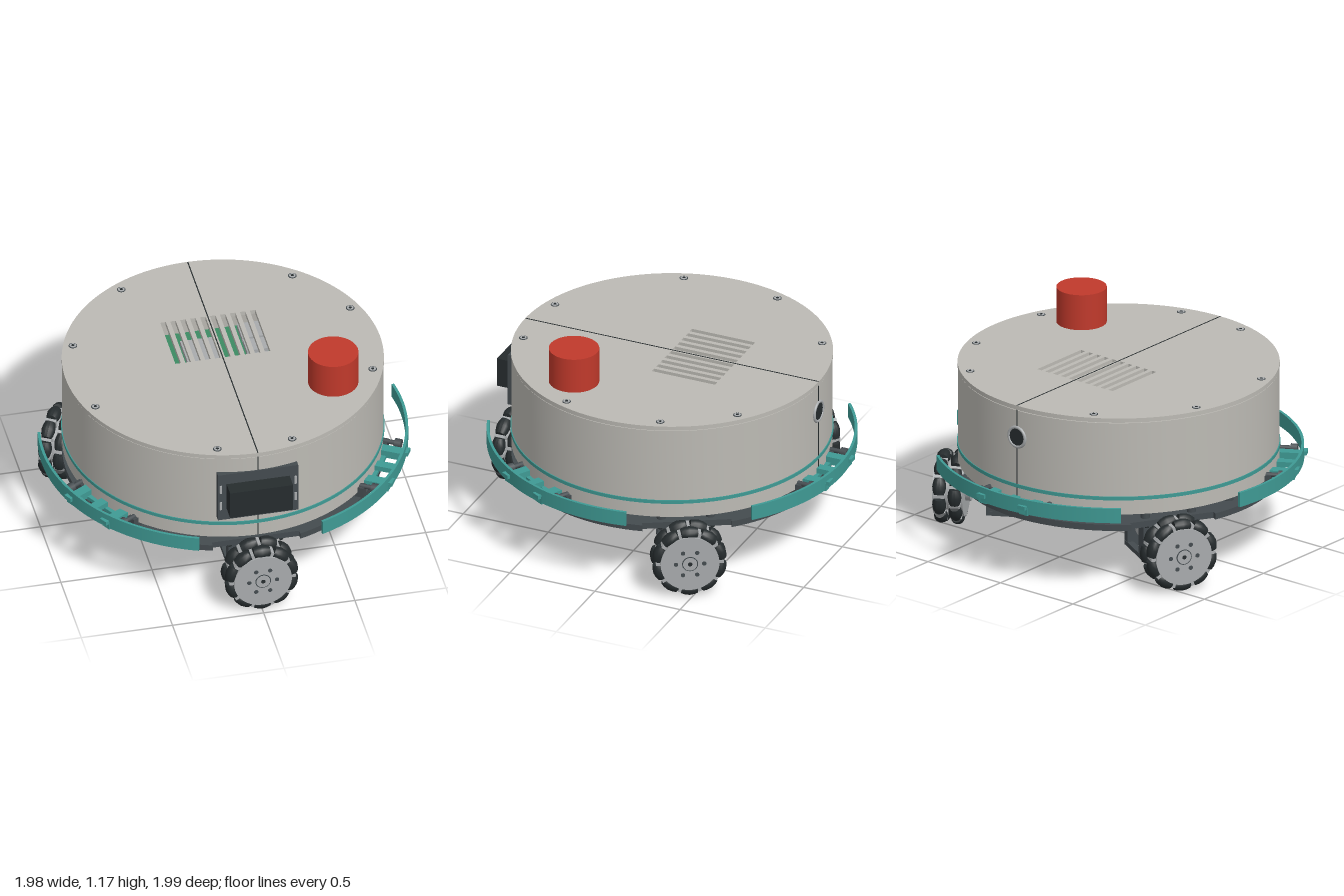
import * as THREE from 'three';
import { toCreasedNormals } from 'three/addons/utils/BufferGeometryUtils.js';

const mat = (color) => new THREE.MeshStandardMaterial({ color });
const SHELL = mat(0xbcbab4), TEAL = mat(0x3f9a94), DARK = mat(0x444b4f), BLACK = mat(0x262c2e);
const METAL = mat(0xa8abad), RED = mat(0xc0392b), GREEN = mat(0x3d8a63);

function add(parent, name, geo, material, x = 0, y = 0, z = 0) {
  const m = new THREE.Mesh(geo, material);
  m.name = name;
  m.position.set(x, y, z);
  parent.add(m);
  return m;
}
const box = (p, name, m, w, h, d, x, y, z) => add(p, name, new THREE.BoxGeometry(w, h, d), m, x, y, z);
// upright cylinder standing on y
const post = (p, name, m, r, h, x, y, z, n = 32) =>
  add(p, name, new THREE.CylinderGeometry(r, r, h, n), m, x, y + h / 2, z);
// cylinder along z between z0 and z1
const rod = (p, name, m, r, z0, z1, x = 0, y = 0, n = 32) =>
  add(p, name, new THREE.CylinderGeometry(r, r, z1 - z0, n).rotateX(Math.PI / 2), m, x, y, (z0 + z1) / 2);
// plan outline (shape y = -z) raised by h
function raise(shape, h) {
  const g = new THREE.ExtrudeGeometry(shape, { depth: h, bevelEnabled: false, curveSegments: 64 });
  return toCreasedNormals(g.rotateX(-Math.PI / 2), 0.5);
}
function ringShape(ro, ri) {
  const s = new THREE.Shape().absarc(0, 0, ro, 0, Math.PI * 2);
  s.holes.push(new THREE.Path().absarc(0, 0, ri, 0, Math.PI * 2, true));
  return s;
}

function makeBody() {
  const g = new THREE.Group();
  g.name = 'body';
  add(g, 'shellWall', raise(ringShape(0.86, 0.835), 0.522), SHELL, 0, 0.43);
  post(g, 'shellFloor', SHELL, 0.84, 0.02, 0, 0.432, 0, 96);
  add(g, 'trimRing', raise(ringShape(0.865, 0.85), 0.02), TEAL, 0, 0.512);

  // lid with vent slots
  const lid = new THREE.Shape().absarc(0, 0, 0.862, 0, Math.PI * 2);
  for (let i = 0; i < 10; i++) {
    const x = -0.245 + i * 0.0545, w = 0.015;
    lid.holes.push(new THREE.Path([[x - w, 0], [x - w, 0.37], [x + w, 0.37], [x + w, 0]]
      .map(([a, b]) => new THREE.Vector2(a, b))));
  }
  add(g, 'lid', raise(lid, 0.024), SHELL, 0, 0.956);
  post(g, 'lidGap', DARK, 0.856, 0.006, 0, 0.951, 0, 96).geometry =
    raise(ringShape(0.856, 0.83), 0.006);

  // seam between the halves
  box(g, 'topSeam', BLACK, 0.006, 0.003, 1.72, 0, 0.98, 0);
  for (const s of [-1, 1]) box(g, 'wallSeam', BLACK, 0.006, 0.525, 0.004, 0, 0.694, s * 0.86);

  // electronics under the vents
  box(g, 'circuitBoard', GREEN, 0.62, 0.015, 0.46, 0, 0.85, -0.185);
  box(g, 'boardModule', METAL, 0.2, 0.03, 0.23, -0.065, 0.87, -0.195);
  for (const [z, d] of [[-0.33, 0.13], [-0.2, 0.1], [-0.06, 0.13]])
    box(g, 'sideModule', METAL, 0.12, 0.03, d, 0.225, 0.87, z);

  // lid screws
  const screws = [[0.205, 0.78], [-0.205, 0.78], [0.76, 0.275], [-0.76, 0.275],
    [0.76, -0.275], [-0.76, -0.275], [-0.4, -0.7], [0.52, -0.62]];
  for (const [x, z] of screws) {
    post(g, 'screwRim', DARK, 0.023, 0.003, x, 0.979, z, 20);
    post(g, 'screwHead', METAL, 0.018, 0.005, x, 0.979, z, 20);
    post(g, 'screwSocket', BLACK, 0.009, 0.006, x, 0.979, z, 6);
  }
  post(g, 'stopButton', RED, 0.135, 0.2, 0.53, 0.98, 0.335, 64);

  // front display
  box(g, 'displayFrame', DARK, 0.44, 0.3, 0.05, 0, 0.715, 0.84);
  box(g, 'displayScreen', BLACK, 0.345, 0.165, 0.1, 0, 0.718, 0.9);
  for (const s of [-1, 1]) for (const y of [0.66, 0.77])
    box(g, 'displayClip', METAL, 0.012, 0.05, 0.01, s * 0.205, y, 0.866);

  // rear port
  add(g, 'portRim', new THREE.TorusGeometry(0.055, 0.009, 10, 40), METAL, 0, 0.8, -0.86);
  rod(g, 'portLens', BLACK, 0.05, -0.864, -0.83, 0, 0.8);
  return g;
}

function makeChassis() {
  const g = new THREE.Group();
  g.name = 'chassis';
  // round plate with three wheel notches
  const pts = [], R = 0.86, half = 0.24, a = Math.asin(half / R);
  for (let k = 0; k < 3; k++) {
    const c = -Math.PI / 2 + k * Math.PI * 2 / 3;
    const inner = Math.hypot(half, 0.8), b = Math.atan2(half, 0.8);
    for (const t of [-b, b]) pts.push(new THREE.Vector2(inner * Math.cos(c + t), inner * Math.sin(c + t)));
    for (let i = 0; i <= 28; i++) {
      const t = c + a + (Math.PI * 2 / 3 - 2 * a) * i / 28;
      pts.push(new THREE.Vector2(R * Math.cos(t), R * Math.sin(t)));
    }
  }
  add(g, 'basePlate', raise(new THREE.Shape(pts), 0.035), DARK, 0, 0.335);
  box(g, 'lowerBoard', GREEN, 0.4, 0.015, 0.5, 0.4, 0.395, -0.25);
  box(g, 'underBlock', DARK, 0.2, 0.025, 0.1, -0.2, 0.322, -0.42);
  // spacers and small deck parts
  for (let i = 0; i < 18; i++) {
    const t = (i + 0.5) * Math.PI / 9;
    post(g, 'spacer', DARK, 0.025, 0.07, 0.76 * Math.sin(t), 0.365, 0.76 * Math.cos(t), 12);
    post(g, 'plateHole', BLACK, 0.012, 0.004, 0.81 * Math.sin(t), 0.332, 0.81 * Math.cos(t), 12);
    const b = box(g, 'deckBlock', DARK, 0.09, 0.04, 0.05, 0.62 * Math.sin(t), 0.388, 0.62 * Math.cos(t));
    b.rotation.y = t;
  }
  return g;
}

// double-row roller wheel with motor, pointing along +z
function makeDrive() {
  const g = new THREE.Group();
  g.name = 'driveUnit';
  const wheel = new THREE.Group();
  wheel.name = 'wheel';
  wheel.position.y = 0.21;
  g.add(wheel);
  const profile = [[0, -0.045], [0.027, -0.045], [0.034, -0.025], [0.038, 0], [0.034, 0.025], [0.027, 0.045], [0, 0.045]]
    .map(([x, y]) => new THREE.Vector2(x, y));
  const roller = toCreasedNormals(new THREE.LatheGeometry(profile, 14), 0.7);
  const N = 10;
  [0.863, 0.947].forEach((z, row) => {
    for (let i = 0; i < N; i++) {
      const spoke = new THREE.Group();
      spoke.name = 'rollerUnit';
      spoke.rotation.z = (i + row / 2) * Math.PI * 2 / N;
      add(spoke, 'roller', roller, BLACK, 0.167, 0, z);
      const fork = new THREE.Group();
      fork.rotation.z = Math.PI / N;
      fork.name = 'rollerFork';
      box(fork, 'fork', METAL, 0.06, 0.016, 0.06, 0.152, 0, z);
      spoke.add(fork);
      wheel.add(spoke);
    }
  });
  rod(wheel, 'hubCore', METAL, 0.128, 0.828, 0.982, 0, 0, 40);
  for (const z of [0.823, 0.977]) rod(wheel, 'hubDisc', METAL, 0.158, z, z + 0.01, 0, 0, 48);
  rod(wheel, 'hubRing', DARK, 0.043, 0.98, 0.989);
  rod(wheel, 'hubCap', METAL, 0.038, 0.98, 0.991);
  rod(wheel, 'axleBore', BLACK, 0.012, 0.98, 0.992, 0, 0, 16);
  for (let i = 0; i < 6; i++) {
    const t = i * Math.PI / 3;
    rod(wheel, 'hubBolt', DARK, 0.012, 0.98, 0.989, 0.076 * Math.cos(t), 0.076 * Math.sin(t), 14);
  }

  // motor, coupler and mount
  rod(g, 'motor', METAL, 0.083, 0.24, 0.64, 0, 0.21, 48);
  rod(g, 'coupler', METAL, 0.05, 0.7, 0.8, 0, 0.21);
  rod(g, 'couplerFlange', METAL, 0.075, 0.795, 0.825, 0, 0.21);
  for (const [z, d] of [[0.44, 0.05], [0.665, 0.07]])
    box(g, 'mountPlate', DARK, 0.25, 0.235, d, 0, 0.217, z);
  for (const s of [-1, 1]) {
    box(g, 'mountRail', DARK, 0.035, 0.025, 0.27, s * 0.11, 0.113, 0.56);
    box(g, 'mountFoot', DARK, 0.05, 0.03, 0.3, s * 0.13, 0.32, 0.56);
  }
  return g;
}

// bumper arc with its arms, pointing along +z
function makeBumper() {
  const g = new THREE.Group();
  g.name = 'bumper';
  const c = -Math.PI / 2, span = 40 * Math.PI / 180;
  const s = new THREE.Shape().absarc(0, 0, 0.992, c - span, c + span);
  s.absarc(0, 0, 0.977, c + span, c - span, true);
  add(g, 'bumperArc', raise(s, 0.082), TEAL, 0, 0.43);
  box(g, 'centreArm', TEAL, 0.05, 0.03, 0.18, 0, 0.45, 0.89);
  box(g, 'crossBar', TEAL, 0.3, 0.02, 0.04, 0, 0.425, 0.86);
  for (const side of [-1, 1]) {
    box(g, 'sideArm', TEAL, 0.055, 0.045, 0.2, side * 0.14, 0.445, 0.88);
    box(g, 'armTip', TEAL, 0.05, 0.022, 0.03, side * 0.14, 0.468, 0.985);
    box(g, 'switchBody', DARK, 0.06, 0.04, 0.05, side * 0.07, 0.405, 0.85);
    rod(g, 'stopPin', DARK, 0.013, 0.8, 0.92, side * 0.207, 0.46, 12);
    rod(g, 'stopKnob', DARK, 0.026, 0.9, 0.937, side * 0.207, 0.46, 8);
    box(g, 'stopBlock', DARK, 0.05, 0.06, 0.06, side * 0.207, 0.43, 0.83);
  }
  return g;
}

export function createModel() {
  const root = new THREE.Group();
  root.name = 'roundRobot';
  root.add(makeBody(), makeChassis());
  for (let k = 0; k < 3; k++) {
    const drive = makeDrive(), bumper = makeBumper();
    drive.rotation.y = k * Math.PI * 2 / 3;
    bumper.rotation.y = Math.PI / 3 + k * Math.PI * 2 / 3;
    root.add(drive, bumper);
  }
  return root;
}
